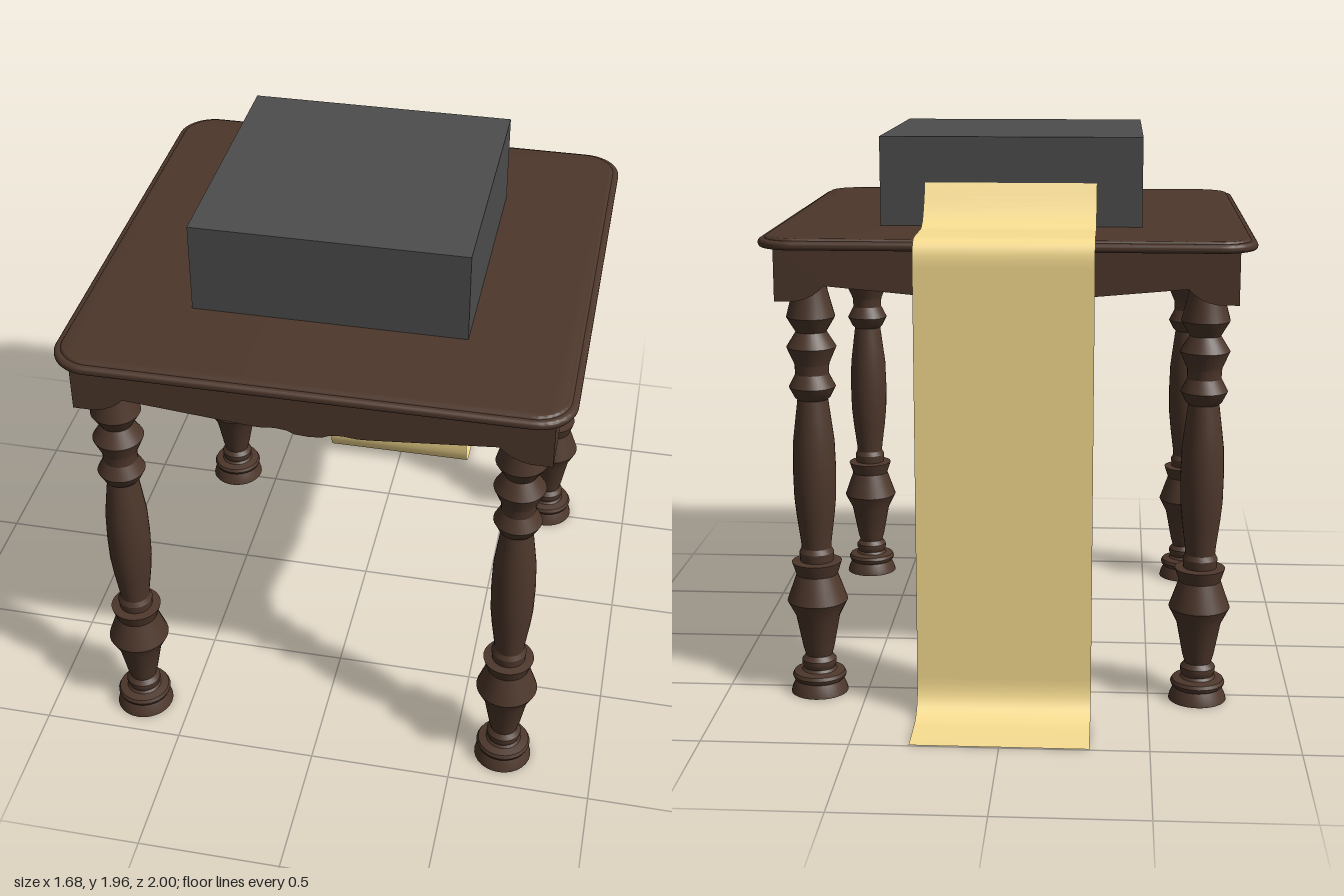
import * as THREE from 'three';
import { toCreasedNormals } from 'three/addons/utils/BufferGeometryUtils.js';

const CZ = 0.157; // table centre along z
const wood = new THREE.MeshStandardMaterial({ color: 0x4d372b });
const dark = new THREE.MeshStandardMaterial({ color: 0x4d4d4d });
const paper = new THREE.MeshStandardMaterial({ color: 0xfadf92, side: THREE.DoubleSide });

function add(parent, name, geometry, material, x = 0, y = 0, z = 0) {
  const mesh = new THREE.Mesh(geometry, material);
  mesh.name = name;
  mesh.position.set(x, y, z);
  parent.add(mesh);
  return mesh;
}

function roundedRect(hx, hy, r) {
  const s = new THREE.Shape();
  s.absarc(hx - r, hy - r, r, 0, Math.PI / 2);
  s.absarc(-hx + r, hy - r, r, Math.PI / 2, Math.PI);
  s.absarc(-hx + r, -hy + r, r, Math.PI, Math.PI * 1.5);
  s.absarc(hx - r, -hy + r, r, Math.PI * 1.5, Math.PI * 2);
  return s;
}

// Rounded slab lying flat, from y = 0 to height, with a rolled rim
function slabGeometry(hx, hz, r, height, bevel) {
  const g = new THREE.ExtrudeGeometry(roundedRect(hx - bevel, hz - bevel, r - bevel), {
    depth: height - 2 * bevel, bevelEnabled: true, bevelSize: bevel, bevelThickness: bevel,
    bevelSegments: 4, curveSegments: 10,
  });
  g.rotateX(-Math.PI / 2);
  g.translate(0, bevel, 0);
  return toCreasedNormals(g, 0.6);
}

// Scalloped skirt board; half is the lower edge from the end to the middle
function apronGeometry(half) {
  const lower = half.concat(half.slice(0, -1).reverse().map(([x, y]) => [-x, y]));
  const pts = [[0.78, 1.61], ...lower, [-0.78, 1.61]].map(([x, y]) => new THREE.Vector2(x, y));
  const g = new THREE.ExtrudeGeometry(new THREE.Shape(pts), { depth: 0.04, bevelEnabled: false });
  g.translate(0, 0, 0.74);
  return toCreasedNormals(g, 0.6);
}

const frontEdge = [
  [0.78, 1.427], [0.71, 1.427], [0.68, 1.434], [0.65, 1.447], [0.625, 1.465], [0.61, 1.48],
  [0.2, 1.443], [0.16, 1.441], [0.11, 1.446], [0.07, 1.442], [0.045, 1.43], [0, 1.427],
];
const sideEdge = [
  [0.78, 1.427], [0.63, 1.427], [0.61, 1.446], [0.58, 1.466], [0.545, 1.478], [0.5, 1.479],
  [0.21, 1.429], [0.18, 1.428], [0.14, 1.437], [0.1, 1.439], [0.05, 1.431], [0, 1.427],
];

// Turned leg: radius, height
const legProfile = [
  [0, 0], [0.102, 0], [0.097, 0.018], [0.084, 0.045], [0.092, 0.052], [0.096, 0.063],
  [0.09, 0.075], [0.062, 0.081], [0.055, 0.09], [0.061, 0.105], [0.061, 0.12],
  [0.047, 0.137], [0.055, 0.165], [0.078, 0.285], [0.107, 0.342], [0.09, 0.39], [0.073, 0.438],
  [0.088, 0.484], [0.058, 0.487], [0.061, 0.518], [0.052, 0.535], [0.054, 0.56],
  [0.066, 0.65], [0.073, 0.72], [0.075, 0.82], [0.072, 0.92], [0.062, 1.0], [0.053, 1.07],
  [0.062, 1.078], [0.081, 1.115], [0.058, 1.16], [0.06, 1.195], [0.086, 1.255],
  [0.053, 1.308], [0.084, 1.36], [0.06, 1.45], [0.056, 1.48], [0.056, 1.53],
];

// Sheet running from the box, over the table edge and out along the floor
function sheetGeometry() {
  const path = new THREE.CurvePath();
  const v = (z, y) => new THREE.Vector3(0, y, z);
  path.add(new THREE.CubicBezierCurve3(v(-0.28, 1.83), v(-0.345, 1.74), v(-0.36, 1.654), v(-0.47, 1.653)));
  path.add(new THREE.LineCurve3(v(-0.47, 1.653), v(-0.64, 1.653)));
  path.add(new THREE.CubicBezierCurve3(v(-0.64, 1.653), v(-0.7, 1.653), v(-0.72, 1.63), v(-0.72, 1.56)));
  path.add(new THREE.LineCurve3(v(-0.72, 1.56), v(-0.72, 0.13)));
  path.add(new THREE.CubicBezierCurve3(v(-0.72, 0.13), v(-0.72, 0.04), v(-0.76, 0.003), v(-0.85, 0.003)));
  path.add(new THREE.LineCurve3(v(-0.85, 0.003), v(-1, 0.003)));
  const pts = path.getPoints(12);
  const g = new THREE.PlaneGeometry(0.6, 1, 1, pts.length - 1);
  const pos = g.attributes.position;
  for (let i = 0; i < pos.count; i++) {
    const p = pts[Math.floor(i / 2)];
    pos.setXYZ(i, -pos.getX(i), p.y, p.z);
  }
  g.computeVertexNormals();
  return g;
}

export function createModel() {
  const model = new THREE.Group();
  model.name = 'tableWithBox';

  const table = new THREE.Group();
  table.name = 'table';
  table.position.z = CZ;
  model.add(table);

  // Top: rolled rim below, slightly inset plate above, solid core between the skirts
  add(table, 'tableRim', slabGeometry(0.84, 0.843, 0.13, 0.03, 0.013), wood, 0, 1.607, 0);
  add(table, 'tableTop', slabGeometry(0.82, 0.823, 0.115, 0.03, 0.01), wood, 0, 1.615, 0);
  add(table, 'tableCore', new THREE.BoxGeometry(1.52, 0.11, 1.52), wood, 0, 1.555, 0);

  // Four skirt boards
  const names = ['apronFront', 'apronLeft', 'apronBack', 'apronRight'];
  const boards = [apronGeometry(frontEdge), apronGeometry(sideEdge)];
  names.forEach((name, i) => {
    add(table, name, boards[i % 2], wood).rotation.y = i * Math.PI / 2;
  });

  // Four turned legs
  const lathe = new THREE.LatheGeometry(legProfile.map(([r, y]) => new THREE.Vector2(r, y)), 28);
  const leg = toCreasedNormals(lathe, 0.4);
  for (const z of [1, -1]) {
    for (const x of [1, -1]) {
      add(table, (z > 0 ? 'front' : 'back') + (x > 0 ? 'Left' : 'Right') + 'Leg', leg, wood, x * 0.674, 0, z * 0.683);
    }
  }

  // Box on the table and the sheet feeding out of its back
  add(model, 'box', new THREE.BoxGeometry(0.916, 0.311, 0.918), dark, 0, 1.8, CZ);
  add(model, 'paperSheet', sheetGeometry(), paper);
  return model;
}
